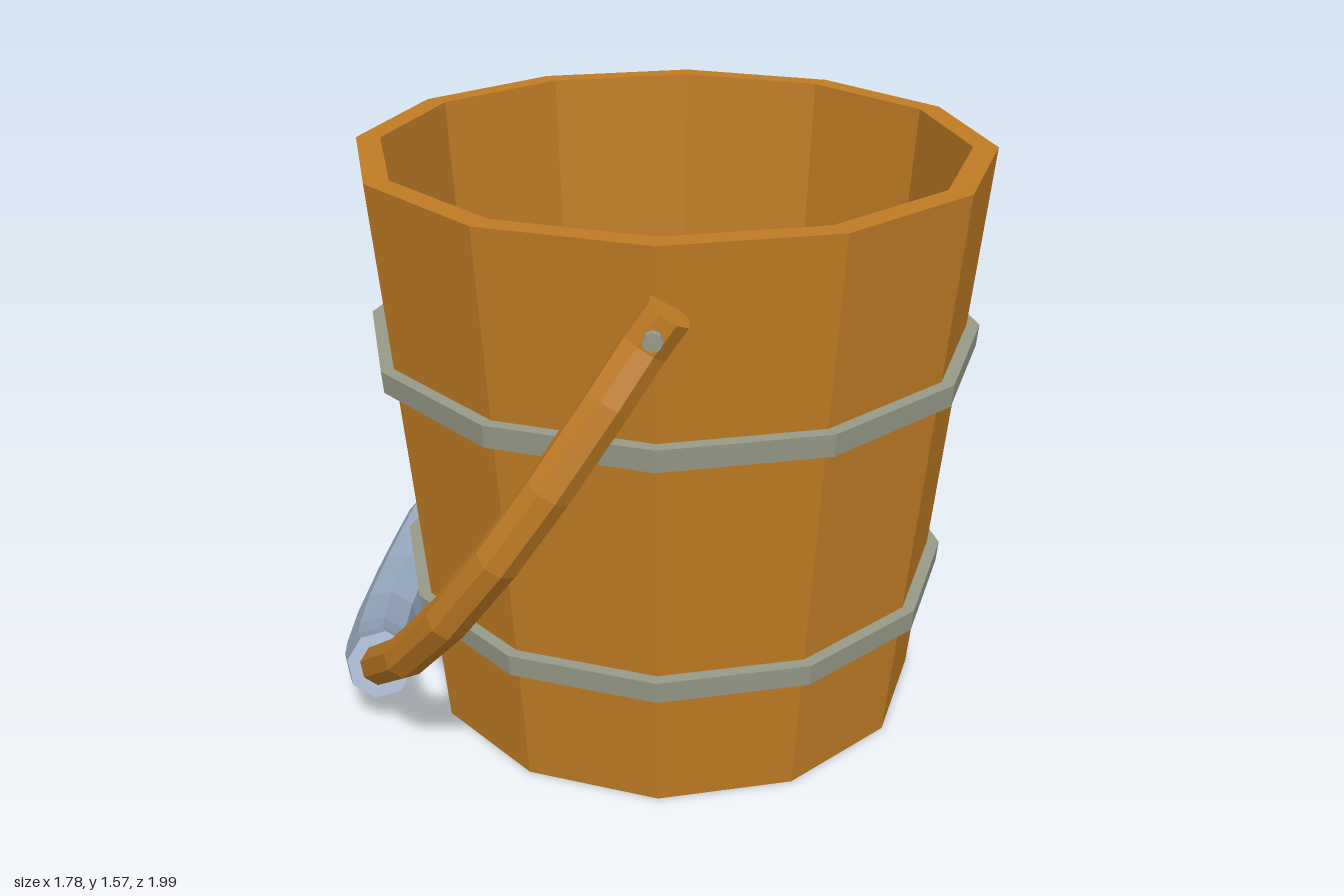
import * as THREE from 'three';

const wood = new THREE.MeshStandardMaterial({ name: 'wood', color: 0xc07c24 });
const iron = new THREE.MeshStandardMaterial({ name: 'hoopMetal', color: 0x979a88 });
const steel = new THREE.MeshStandardMaterial({ name: 'gripMetal', color: 0x94a6bc });

const CENTRE_X = 0.045;

// Faceted mesh: split the faces so every one has its own normal
function faceted(name, geometry, material) {
  const g = geometry.index ? geometry.toNonIndexed() : geometry;
  g.computeVertexNormals();
  const mesh = new THREE.Mesh(g, material);
  mesh.name = name;
  return mesh;
}

// Twelve-sided turned part from [radius, height] pairs
function turned(name, profile, material) {
  const points = profile.map(([r, y]) => new THREE.Vector2(r, y));
  const mesh = faceted(name, new THREE.LatheGeometry(points, 12), material);
  mesh.position.x = CENTRE_X;
  return mesh;
}

// Capped tube along a planar path of [x, z] pairs
function rod(name, path, radius, material, sides = 8) {
  const pts = path.map(([x, z]) => new THREE.Vector3(x, 0, z));
  const up = new THREE.Vector3(0, 1, 0);
  const rings = pts.map((p, i) => {
    const t = pts[Math.min(i + 1, pts.length - 1)].clone().sub(pts[Math.max(i - 1, 0)]).normalize();
    const n = up.clone().cross(t);
    return Array.from({ length: sides }, (_, j) => {
      const a = ((j + 0.5) / sides) * Math.PI * 2;
      return p.clone().addScaledVector(n, radius * Math.cos(a)).addScaledVector(up, radius * Math.sin(a));
    });
  });
  const last = rings.length - 1;
  const tris = [];
  for (let j = 0; j < sides; j++) {
    const k = (j + 1) % sides;
    for (let i = 0; i < last; i++) {
      const [a, b, c, d] = [rings[i][j], rings[i][k], rings[i + 1][k], rings[i + 1][j]];
      tris.push(a, b, c, a, c, d);
    }
    tris.push(pts[0], rings[0][k], rings[0][j], pts[last], rings[last][j], rings[last][k]);
  }
  return faceted(name, new THREE.BufferGeometry().setFromPoints(tris), material);
}

// Mirror half a path across z = 0
const mirrored = (half) => [...half, ...half.slice(0, -1).reverse().map(([x, z]) => [x, -z])];

export function createModel() {
  const model = new THREE.Group();
  model.name = 'bucket';

  // Tapered wooden body with a hollow inside
  model.add(turned('body', [[0, 0.01], [0.7, 0.01], [0.84, 1.58], [0.775, 1.58], [0.673, 0.12], [0, 0.12]], wood));

  // Two metal hoops
  for (const [name, y, r] of [['lowerHoop', 0.355, 0.765], ['upperHoop', 1.028, 0.826]]) {
    model.add(turned(name, [[r - 0.06, y], [r, y], [r + 0.005, y + 0.06], [r - 0.06, y + 0.06]], iron));
  }

  // Handle hanging down to one side; local x runs down along its plane
  const handle = new THREE.Group();
  handle.name = 'handle';
  handle.position.set(0.078, 1.437, 0);
  handle.rotation.z = Math.atan2(-0.833, -0.553);
  handle.add(rod('handleBar', mirrored([
    [0, 0.857], [0.1, 0.857], [0.24, 0.9], [0.48, 0.945], [0.7, 0.94],
    [0.95, 0.865], [1.23, 0.68], [1.47, 0.42], [1.57, 0.22], [1.605, 0],
  ]), 0.057, wood));
  handle.add(rod('grip', mirrored([[1.47, 0.42], [1.535, 0.31], [1.575, 0.2], [1.605, 0]]), 0.092, steel));
  model.add(handle);

  // Pivot pins through the handle ends
  for (const side of [1, -1]) {
    const pin = faceted(side > 0 ? 'frontPin' : 'backPin', new THREE.CylinderGeometry(0.023, 0.023, 0.13, 8), iron);
    pin.rotation.x = Math.PI / 2;
    pin.position.set(CENTRE_X, 1.392, side * 0.865);
    model.add(pin);
  }
  return model;
}
